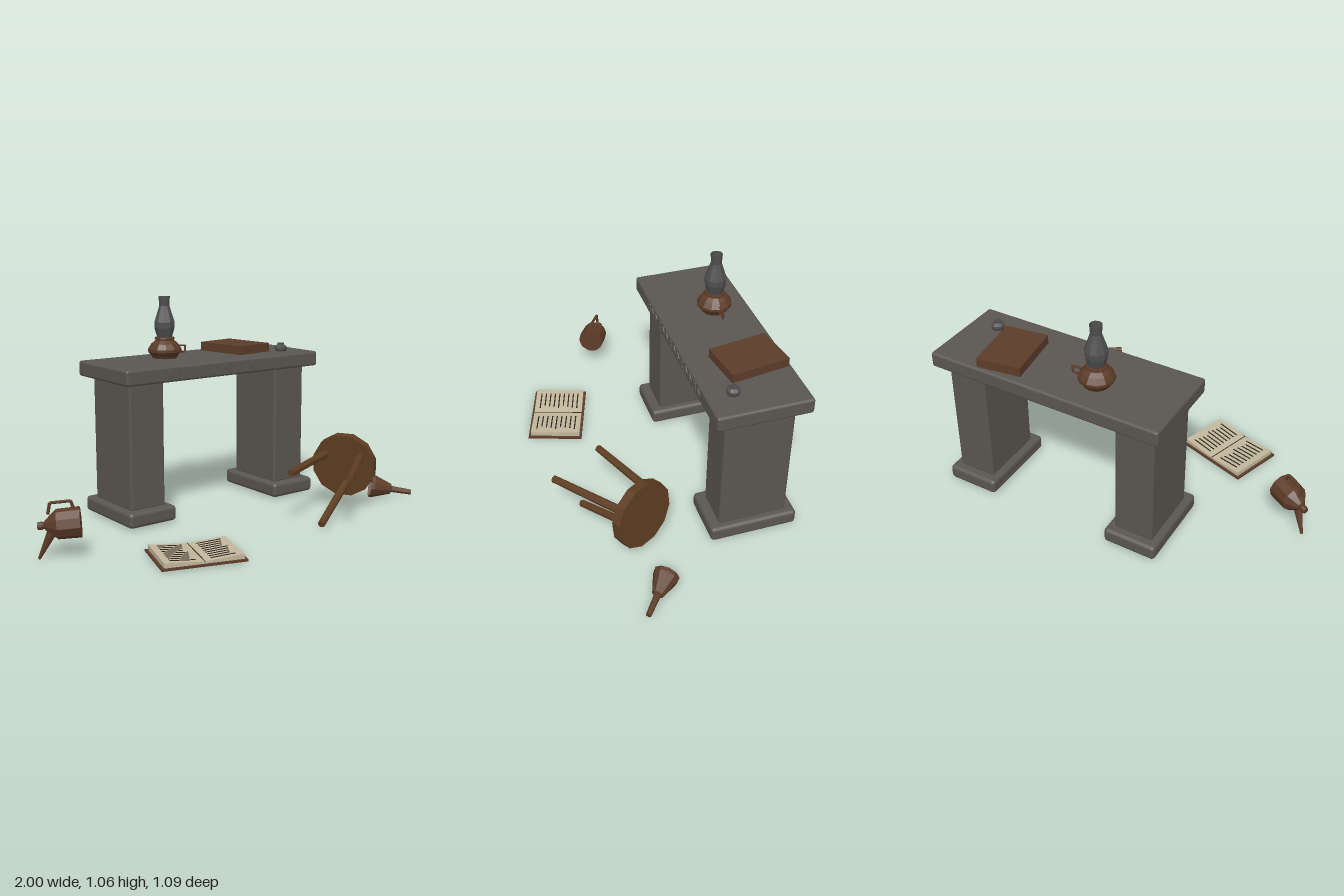
import * as THREE from 'three';
import { RoundedBoxGeometry } from 'three/addons/geometries/RoundedBoxGeometry.js';

const V = (x, y, z) => new THREE.Vector3(x, y, z);
const UP = V(0, 1, 0);

function material(name, color, side = THREE.FrontSide) {
  const m = new THREE.MeshStandardMaterial({ color, side });
  m.name = name;
  return m;
}

const stone = material('stone', 0x5a5650);
const wood = material('wood', 0x5e3d22);
const leather = material('leather', 0x5c3c2a);
const copper = material('copper', 0x5c3b27, THREE.DoubleSide);
const glass = material('smoky glass', 0x4e4f4e, THREE.DoubleSide);
const paper = material('paper', 0xc2b79c);
const ink = material('ink', 0x2c261f);

// Facet a geometry
function flat(geometry) {
  const g = geometry.index ? geometry.toNonIndexed() : geometry;
  g.computeVertexNormals();
  return g;
}

function add(parent, name, geometry, mat, x = 0, y = 0, z = 0) {
  const mesh = new THREE.Mesh(geometry, mat);
  mesh.name = name;
  mesh.position.set(x, y, z);
  parent.add(mesh);
  return mesh;
}

function group(parent, name, x = 0, y = 0, z = 0, turn = 0) {
  const g = new THREE.Group();
  g.name = name;
  g.position.set(x, y, z);
  g.rotation.y = turn;
  parent.add(g);
  return g;
}

// Box given by its limits, with softened edges
function block(parent, name, mat, x0, x1, y0, y1, z0, z1, radius) {
  const geo = new RoundedBoxGeometry(x1 - x0, y1 - y0, z1 - z0, 2, radius);
  return add(parent, name, geo, mat, (x0 + x1) / 2, (y0 + y1) / 2, (z0 + z1) / 2);
}

// Tapered rod from a to b
function rod(parent, name, mat, a, b, ra, rb = ra, sides = 8) {
  const geo = flat(new THREE.CylinderGeometry(rb, ra, a.distanceTo(b), sides));
  const mesh = add(parent, name, geo, mat);
  mesh.position.copy(a).lerp(b, 0.5);
  mesh.quaternion.setFromUnitVectors(UP, b.clone().sub(a).normalize());
  return mesh;
}

// Chain of rods, for handles
function chain(parent, name, mat, points, r) {
  for (let i = 1; i < points.length; i++) rod(parent, name, mat, points[i - 1], points[i], r, r, 6);
}

// Turned part from [radius, height] pairs
function turned(parent, name, mat, profile, sides = 10) {
  const points = profile.map(([r, y]) => new THREE.Vector2(r, y));
  return add(parent, name, flat(new THREE.LatheGeometry(points, sides)), mat);
}

function buildTable(root) {
  const table = group(root, 'table');
  block(table, 'tableTop', stone, -0.49, 0.674, 0.685, 0.76, -0.55, -0.105, 0.012);
  for (const x of [-0.348, 0.53]) {
    block(table, 'tableLeg', stone, x - 0.096, x + 0.096, 0.075, 0.69, -0.49, -0.162, 0.012);
    block(table, 'legBase', stone, x - 0.131, x + 0.131, 0.008, 0.082, -0.535, -0.115, 0.018);
  }
  // Abstract carved strokes along the front edge
  const stem = new THREE.BoxGeometry(0.007, 0.05, 0.006);
  const slant = new THREE.BoxGeometry(0.006, 0.026, 0.006);
  for (let i = 0; i < 14; i++) {
    const x = -0.265 + i * 0.054;
    add(table, 'carvedStroke', stem, stone, x, 0.724, -0.104);
    const side = i % 3 === 0 ? -1 : 1;
    add(table, 'carvedStroke', slant, stone, x + 0.012, 0.738, -0.104).rotation.z = 0.8 * side;
    add(table, 'carvedStroke', slant, stone, x + 0.024, 0.722 - (i % 2) * 0.008, -0.104).rotation.z = -0.3 * side;
  }
}

function buildLamp(root) {
  const lamp = group(root, 'oilLamp', -0.1, 0.76, -0.378);
  turned(lamp, 'lampBase', copper, [[0, 0], [0.06, 0], [0.066, 0.012], [0.083, 0.032], [0.083, 0.046],
    [0.066, 0.072], [0.046, 0.088], [0.046, 0.092], [0.05, 0.095], [0.048, 0.103], [0.022, 0.105], [0.02, 0.135], [0, 0.135]], 12);
  turned(lamp, 'chimney', glass, [[0.037, 0.1], [0.052, 0.15], [0.052, 0.178], [0.031, 0.242], [0.026, 0.258], [0.029, 0.303]]);
  chain(lamp, 'lampHandle', copper, [V(0.072, 0.056, 0), V(0.124, 0.053, 0), V(0.12, 0.02, 0), V(0.076, 0.026, 0)], 0.005);
}

function buildInkPot(root) {
  const pot = group(root, 'inkPot', 0.53, 0.76, -0.23);
  turned(pot, 'inkPotBody', glass, [[0, 0], [0.028, 0], [0.033, 0.012], [0.032, 0.024], [0.017, 0.034],
    [0.018, 0.042], [0.012, 0.042], [0.01, 0.03], [0, 0.03]]);
}

function buildClosedBook(root) {
  const book = group(root, 'closedBook', 0.34, 0.782, -0.377, 0.145);
  add(book, 'bookBlock', new THREE.BoxGeometry(0.213, 0.045, 0.287), leather);
}

function buildOpenBook(root) {
  const book = group(root, 'openBook', -0.44, 0, 0.35, -0.313);
  add(book, 'cover', new THREE.BoxGeometry(0.382, 0.009, 0.275), leather, 0, 0.009, 0);
  for (const s of [-1, 1]) {
    // Wedge of pages, thicker toward the outer edge
    const section = new THREE.Shape();
    section.moveTo(0, 0.013);
    section.lineTo(s * 0.178, 0.013);
    section.lineTo(s * 0.178, 0.036);
    section.lineTo(0, 0.023);
    section.closePath();
    const geo = new THREE.ExtrudeGeometry(section, { depth: 0.252, bevelEnabled: false });
    add(book, 'pages', geo, paper, 0, 0, -0.126);
    // Rows of writing as plain strips
    for (let i = 0; i < 9; i++) {
      const w = 0.112 - ((i * 5) % 4) * 0.006;
      const x = s * 0.09 - (0.112 - w) / 2;
      const row = add(book, 'writingRow', new THREE.BoxGeometry(w, 0.003, 0.006), ink,
        x, 0.0235 + Math.abs(x) * 0.073, -0.098 + i * 0.0245);
      row.rotation.z = s * 0.073;
    }
  }
  add(book, 'pageGutter', new THREE.BoxGeometry(0.004, 0.002, 0.252), ink, 0, 0.0235, 0);
}

function buildStool(root) {
  const stool = group(root, 'tippedStool');
  const centre = V(0.59, 0.225, 0.2);
  const axis = V(0.867, 0.115, -0.488).normalize().multiplyScalar(0.023);
  const seat = rod(stool, 'seat', wood, centre.clone().sub(axis), centre.clone().add(axis), 0.161, 0.161, 12);
  seat.rotateY(Math.PI / 12);
  const legs = [
    [V(0.53, 0.278, 0.132), V(0.16, 0.265, 0.282)],
    [V(0.59, 0.133, 0.215), V(0.255, 0.024, 0.395)],
    [V(0.615, 0.28, 0.285), V(0.302, 0.266, 0.53)],
  ];
  for (const [a, b] of legs) rod(stool, 'stoolLeg', wood, a, b, 0.02, 0.017);
}

function buildFunnel(root) {
  const funnel = group(root, 'funnel', 0.825, 0.065, 0.157);
  funnel.quaternion.setFromUnitVectors(UP, V(0.165, -0.034, 0.136).normalize());
  turned(funnel, 'funnelCone', copper, [[0.06, 0], [0.058, 0.018], [0.026, 0.108], [0.016, 0.112],
    [0.013, 0.215], [0, 0.215]]);
}

function buildJug(root) {
  const jug = group(root, 'tippedJug');
  // Body lies on its side, base toward the right-hand end
  const body = turned(jug, 'jugBody', copper, [[0, 0], [0.067, 0], [0.067, 0.012], [0.065, 0.1],
    [0.05, 0.118], [0.022, 0.15], [0.014, 0.155], [0.018, 0.165], [0.015, 0.184], [0, 0.186]]);
  body.position.set(-0.835, 0.163, 0.061);
  body.quaternion.setFromUnitVectors(UP, V(-0.155, -0.013, -0.092).normalize());
  rod(jug, 'spout', copper, V(-0.945, 0.12, 0.003), V(-0.99, 0.004, -0.032), 0.021, 0.006);
  chain(jug, 'jugHandle', copper, [V(-0.953, 0.2, -0.012), V(-0.945, 0.25, -0.007),
    V(-0.87, 0.257, 0.04), V(-0.858, 0.215, 0.047)], 0.007);
}

export function createModel() {
  const root = new THREE.Group();
  root.name = 'writingTableScene';
  for (const build of [buildTable, buildLamp, buildInkPot, buildClosedBook, buildOpenBook,
    buildStool, buildFunnel, buildJug]) build(root);
  return root;
}
